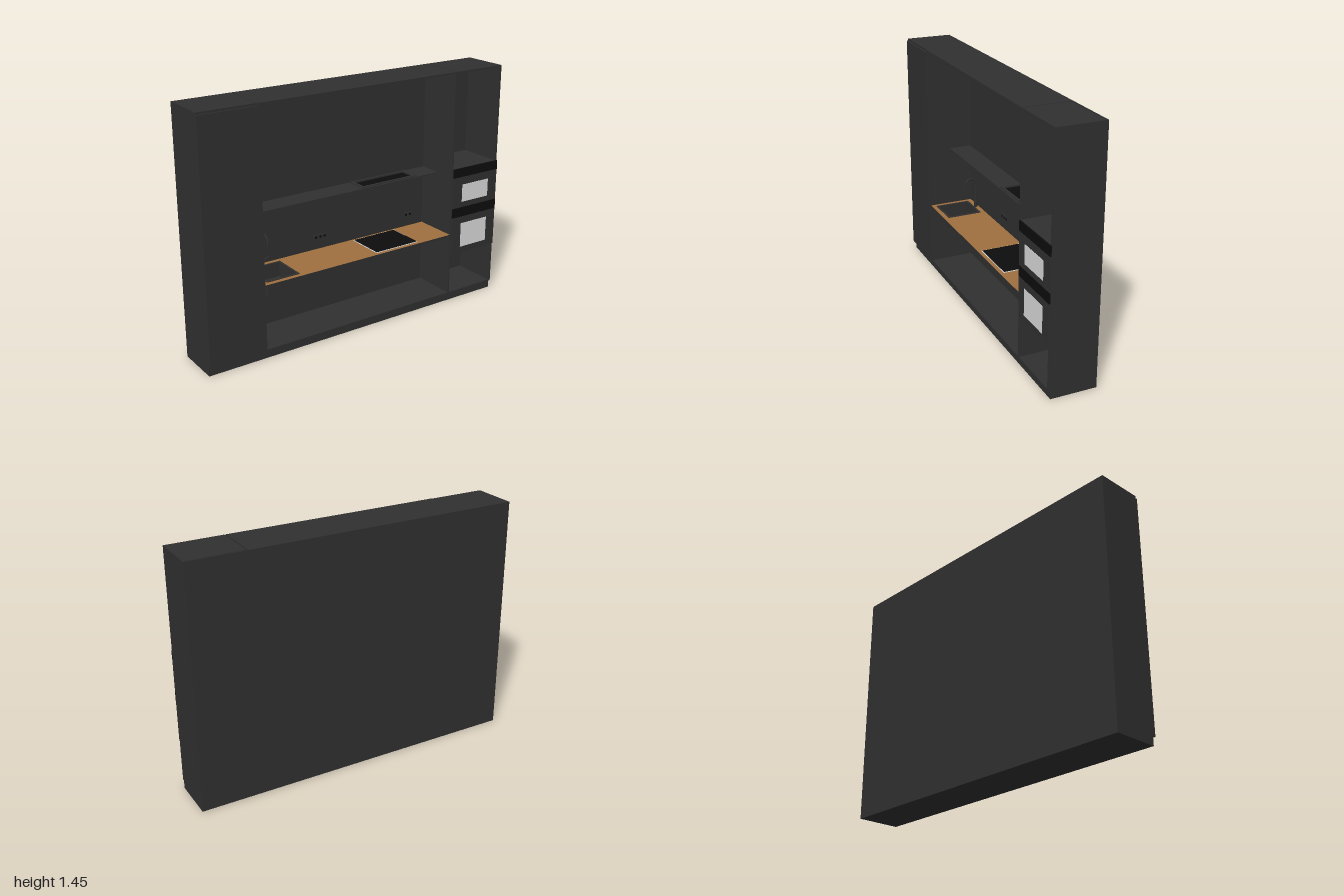
import * as THREE from 'three';

const paint = (name, color) => {
  const m = new THREE.MeshStandardMaterial({ color });
  m.name = name;
  return m;
};

export function createModel() {
  const root = new THREE.Group();
  root.name = 'kitchenWall';
  const charcoal = paint('charcoal', 0x303030);
  const black = paint('black', 0x0d0d0d);
  const wood = paint('wood', 0xa0703f);
  const glass = paint('paleGlass', 0xdcdcdc);

  const add = (name, geo, mat, parent = root) => {
    const mesh = new THREE.Mesh(geo, mat);
    mesh.name = name;
    parent.add(mesh);
    return mesh;
  };
  // box given by its limits on each axis
  const box = (name, [x0, x1], [y0, y1], [z0, z1], mat = charcoal, parent = root) => {
    const mesh = add(name, new THREE.BoxGeometry(x1 - x0, y1 - y0, z1 - z0), mat, parent);
    mesh.position.set((x0 + x1) / 2, (y0 + y1) / 2, (z0 + z1) / 2);
    return mesh;
  };
  const group = (name) => {
    const g = new THREE.Group();
    g.name = name;
    root.add(g);
    return g;
  };
  const rect = (Kind, x0, x1, y0, y1) => new Kind().setFromPoints(
    [[x0, y0], [x1, y0], [x1, y1], [x0, y1]].map(([x, y]) => new THREE.Vector2(x, y)));
  // flat horizontal plate with a rectangular hole, limits in x and z
  const framePlate = (name, [x0, x1], [z0, z1], hole, y, thick, mat, parent = root) => {
    const shape = rect(THREE.Shape, x0, x1, -z1, -z0);
    shape.holes.push(rect(THREE.Path, hole[0], hole[1], -hole[3], -hole[2]));
    const geo = new THREE.ExtrudeGeometry(shape, { depth: thick, bevelEnabled: false });
    geo.rotateX(-Math.PI / 2);
    const mesh = add(name, geo, mat, parent);
    mesh.position.y = y;
    return mesh;
  };

  const back = -0.142, front = 0.14, top = 1.45;

  // carcass
  box('plinth', [-1, 1], [0, 0.05], [back, 0.127]);
  box('backPanel', [-1, 1], [0.05, top], [back, -0.134]);
  box('floorPanel', [-0.655, 0.985], [0.05, 0.058], [-0.134, front]);
  box('centreTopPanel', [-0.65, 0.645], [top - 0.01, top], [-0.134, front]);

  // closed tall cabinet
  box('tallCabinet', [-1, -0.66], [0.05, top], [-0.134, 0.136]);
  box('tallCabinetDoor', [-1, -0.66], [0.052, 1.437], [0.136, 0.146]);
  box('tallCabinetSide', [-0.657, -0.648], [0.05, top], [-0.134, front]);

  // open tower for the ovens
  box('towerInnerSide', [0.645, 0.655], [0.05, top], [-0.134, front]);
  box('towerOuterSide', [0.988, 1], [0.05, top], [-0.134, front]);
  box('towerTopPanel', [0.662, 0.988], [top - 0.01, top], [-0.13, front]);

  // two ovens with control bands and windows
  const ovens = [
    { y: [0.61, 0.86], band: 0.805, win: [0.645, 0.755] },
    { y: [0.31, 0.61], band: 0.55, win: [0.35, 0.505] },
  ];
  ovens.forEach(({ y, band, win }) => {
    const oven = group('oven');
    box('ovenBody', [0.656, 0.987], y, [-0.133, 0.139], charcoal, oven);
    box('ovenDoor', [0.656, 1], [y[0], band], [0.139, 0.146], charcoal, oven);
    box('controlBand', [0.656, 1], [band, y[1]], [0.139, 0.148], black, oven);
    box('ovenWindow', [0.725, 0.93], win, [0.146, 0.148], glass, oven);
  });

  // worktop with sink cut-out
  const sinkHole = [-0.612, -0.422, -0.095, 0.105];
  framePlate('worktop', [-0.648, 0.645], [-0.134, front], sinkHole, 0.435, 0.01, [wood, charcoal]);
  box('worktopUnderside', [-0.4, 0.645], [0.431, 0.435], [-0.134, front]);

  // sink
  const sink = group('sink');
  const [sx0, sx1, sz0, sz1] = sinkHole;
  const t = 0.004;
  framePlate('sinkRim', [sx0 - 0.008, sx1 + 0.008], [sz0 - 0.008, sz1 + 0.008],
    [sx0 + t, sx1 - t, sz0 + t, sz1 - t], 0.445, 0.003, charcoal, sink);
  box('sinkBottom', [sx0, sx1], [0.355, 0.359], [sz0, sz1], charcoal, sink);
  [[sx0, sx0 + t], [sx1 - t, sx1]].forEach((x) => box('sinkEnd', x, [0.359, 0.445], [sz0, sz1], charcoal, sink));
  [[sz0, sz0 + t], [sz1 - t, sz1]].forEach((z) => box('sinkSide', [sx0 + t, sx1 - t], [0.359, 0.445], z, charcoal, sink));

  // swan-neck tap
  const tap = group('tap');
  tap.position.set(-0.52, 0.445, -0.115);
  const neck = new THREE.CatmullRomCurve3([[0, 0], [0.08, 0], [0.15, 0], [0.18, 0.012], [0.192, 0.035],
    [0.18, 0.058], [0.15, 0.07], [0.12, 0.07]].map(([y, z]) => new THREE.Vector3(0, y, z)));
  add('tapNeck', new THREE.TubeGeometry(neck, 32, 0.005, 10), charcoal, tap);
  add('tapBase', new THREE.CylinderGeometry(0.01, 0.01, 0.04, 16), charcoal, tap).position.y = 0.02;
  const lever = add('tapLever', new THREE.CylinderGeometry(0.004, 0.006, 0.04, 10), charcoal, tap);
  lever.rotation.z = -1.1;
  lever.position.set(0.024, 0.03, 0);

  // hob with pale edge
  box('hobEdge', [0.108, 0.412], [0.445, 0.448], [-0.118, 0.118], glass);
  box('hobGlass', [0.112, 0.408], [0.446, 0.4495], [-0.114, 0.114], black);

  // shelf under the wall cabinets, with recessed extractor
  const hoodHole = [0.11, 0.47, -0.115, -0.02];
  framePlate('wallShelf', [-0.648, 0.645], [-0.134, 0.005], hoodHole, 0.804, 0.008, charcoal);
  const hood = group('extractor');
  framePlate('extractorFrame', [0.09, 0.49], [-0.128, -0.005], hoodHole, 0.812, 0.006, charcoal, hood);
  box('extractorFilter', [0.11, 0.47], [0.804, 0.808], [-0.115, -0.02], black, hood);

  // wall sockets
  [[-0.12, 3], [0.53, 2]].forEach(([cx, count]) => {
    const sockets = group('sockets');
    for (let i = 0; i < count; i++) {
      const x = cx + (i - (count - 1) / 2) * 0.03;
      box('socketPlate', [x - 0.014, x + 0.014], [0.506, 0.534], [-0.134, -0.13], charcoal, sockets);
      const hole = add('socketHole', new THREE.CylinderGeometry(0.008, 0.008, 0.002, 16), black, sockets);
      hole.rotation.x = Math.PI / 2;
      hole.position.set(x, 0.52, -0.1295);
    }
  });

  return root;
}
